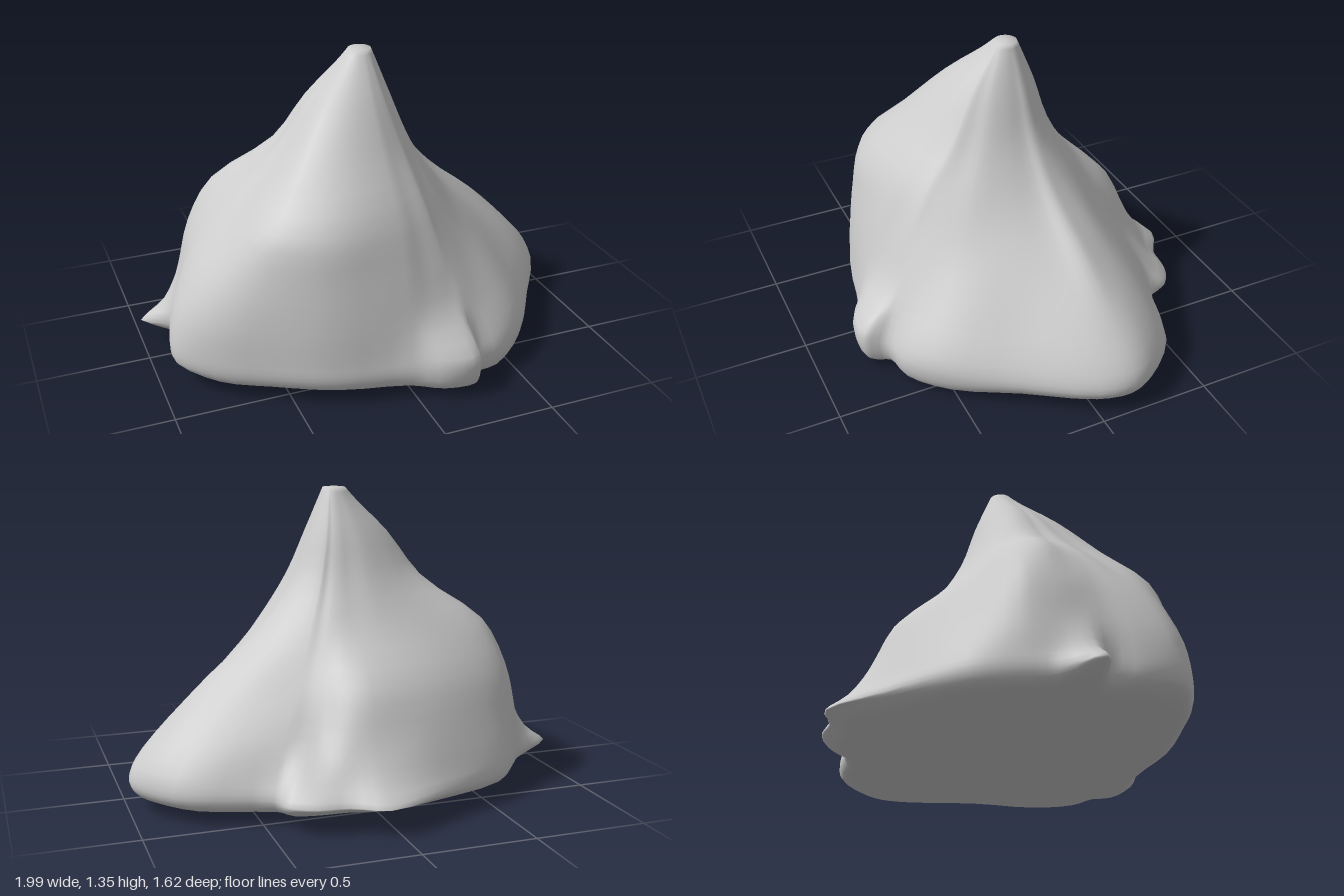
import * as THREE from 'three';

// Footprint outline (x, z), running from the left side round the front
const RIM = [
  [0.99, -0.15], [0.96, 0.0], [0.78, 0.28], [0.6, 0.54], [0.43, 0.68], [0.3, 0.71],
  [0.26, 0.8], [0.12, 0.8], [-0.02, 0.73], [-0.34, 0.66], [-0.6, 0.53], [-0.8, 0.41],
  [-0.93, 0.26], [-0.91, 0.09], [-0.86, -0.03], [-1.0, -0.15], [-0.83, -0.25], [-0.74, -0.36],
  [-0.6, -0.52], [-0.25, -0.69], [0.05, -0.81], [0.2, -0.73], [0.33, -0.71], [0.43, -0.65],
  [0.47, -0.55], [0.79, -0.43], [0.94, -0.27],
];

// Distance from the axis at each height, one row per footprint point
const HEIGHTS = [0.95, 0.75, 0.55, 0.35, 0.2];
const SLOPES = [
  [0.23, 0.39, 0.64, 0.85, 0.98], [0.22, 0.36, 0.58, 0.8, 0.93], [0.23, 0.36, 0.53, 0.69, 0.8],
  [0.26, 0.39, 0.53, 0.69, 0.79], [0.28, 0.42, 0.55, 0.68, 0.78], [0.31, 0.45, 0.57, 0.68, 0.75],
  [0.32, 0.47, 0.58, 0.68, 0.83], [0.34, 0.49, 0.59, 0.68, 0.8], [0.37, 0.53, 0.62, 0.68, 0.72],
  [0.45, 0.65, 0.7, 0.73, 0.74], [0.49, 0.7, 0.76, 0.79, 0.8], [0.45, 0.67, 0.8, 0.88, 0.9],
  [0.41, 0.62, 0.81, 0.93, 0.97], [0.4, 0.62, 0.79, 0.89, 0.92], [0.38, 0.62, 0.77, 0.84, 0.86],
  [0.38, 0.63, 0.77, 0.83, 0.91], [0.37, 0.66, 0.77, 0.82, 0.85], [0.34, 0.61, 0.75, 0.8, 0.82],
  [0.29, 0.47, 0.63, 0.72, 0.78], [0.23, 0.35, 0.54, 0.64, 0.7], [0.2, 0.32, 0.53, 0.62, 0.72],
  [0.2, 0.32, 0.5, 0.61, 0.69], [0.2, 0.32, 0.46, 0.57, 0.7], [0.2, 0.32, 0.45, 0.58, 0.71],
  [0.21, 0.33, 0.46, 0.61, 0.69], [0.22, 0.36, 0.55, 0.75, 0.87], [0.23, 0.38, 0.61, 0.84, 0.96],
];

// The underside sags towards the front left and lifts at the back and right tips
const floorY = (x, z) => 0.05
  - 0.05 * Math.exp(-((x - 0.35) ** 2 + (z - 0.5) ** 2) / 0.12)
  + 0.2 * Math.max(0, -z - 0.55)
  + 0.2 * Math.max(0, -x - 0.8);

// Guide points of one slope, from the summit cap down and under the base
function spoke([x, z], radii) {
  const rim = Math.hypot(x, z);
  const at = (r, y, shift = 0) => new THREE.Vector3((x / rim) * r + shift, y, (z / rim) * r);
  const under = (k, lift = 0) => new THREE.Vector3(x * k, floorY(x * k, z * k) + lift, z * k);
  return [
    at(0.05, 1.35, 0.02),
    at(0.05 + radii[0] * 0.13, 1.29, 0.015),
    at(0.035 + radii[0] * 0.5, 1.15),
    ...radii.map((r, i) => at(r, HEIGHTS[i])),
    at(rim, 0.12),
    under(0.97, 0.02),
    under(0.88),
    under(0.4),
  ];
}

function loftGeometry(spokes, across, down) {
  const levels = spokes[0].length;
  const cols = spokes.length * across;
  const rows = (levels - 1) * down + 1;

  // Smooth each level around the axis, then each column from top to bottom
  const rings = [];
  for (let i = 0; i < levels; i++) {
    const curve = new THREE.CatmullRomCurve3(spokes.map((s) => s[i]), true, 'centripetal');
    rings.push(Array.from({ length: cols }, (_, j) => curve.getPoint(j / cols)));
  }
  const positions = [];
  for (let j = 0; j < cols; j++) {
    const curve = new THREE.CatmullRomCurve3(rings.map((r) => r[j]), false, 'centripetal');
    for (let i = 0; i < rows; i++) positions.push(...curve.getPoint(i / (rows - 1)).toArray());
  }

  const index = [];
  const top = cols * rows;
  const bottom = top + 1;
  positions.push(0.02, 1.355, 0, 0, floorY(0, 0), 0);
  for (let j = 0; j < cols; j++) {
    const a = j * rows;
    const b = ((j + 1) % cols) * rows;
    index.push(top, b, a, bottom, a + rows - 1, b + rows - 1);
    for (let i = 0; i < rows - 1; i++) {
      index.push(a + i, b + i + 1, a + i + 1, a + i, b + i, b + i + 1);
    }
  }

  const geometry = new THREE.BufferGeometry();
  geometry.setAttribute('position', new THREE.Float32BufferAttribute(positions, 3));
  geometry.setIndex(index);
  geometry.computeVertexNormals();
  return geometry;
}

export function createModel() {
  const group = new THREE.Group();
  group.name = 'rock';
  const material = new THREE.MeshStandardMaterial({ color: 0xcccccc });
  const spokes = RIM.map((point, i) => spoke(point, SLOPES[i]));
  const peak = new THREE.Mesh(loftGeometry(spokes, 3, 3), material);
  peak.name = 'rockPeak';
  group.add(peak);
  return group;
}
